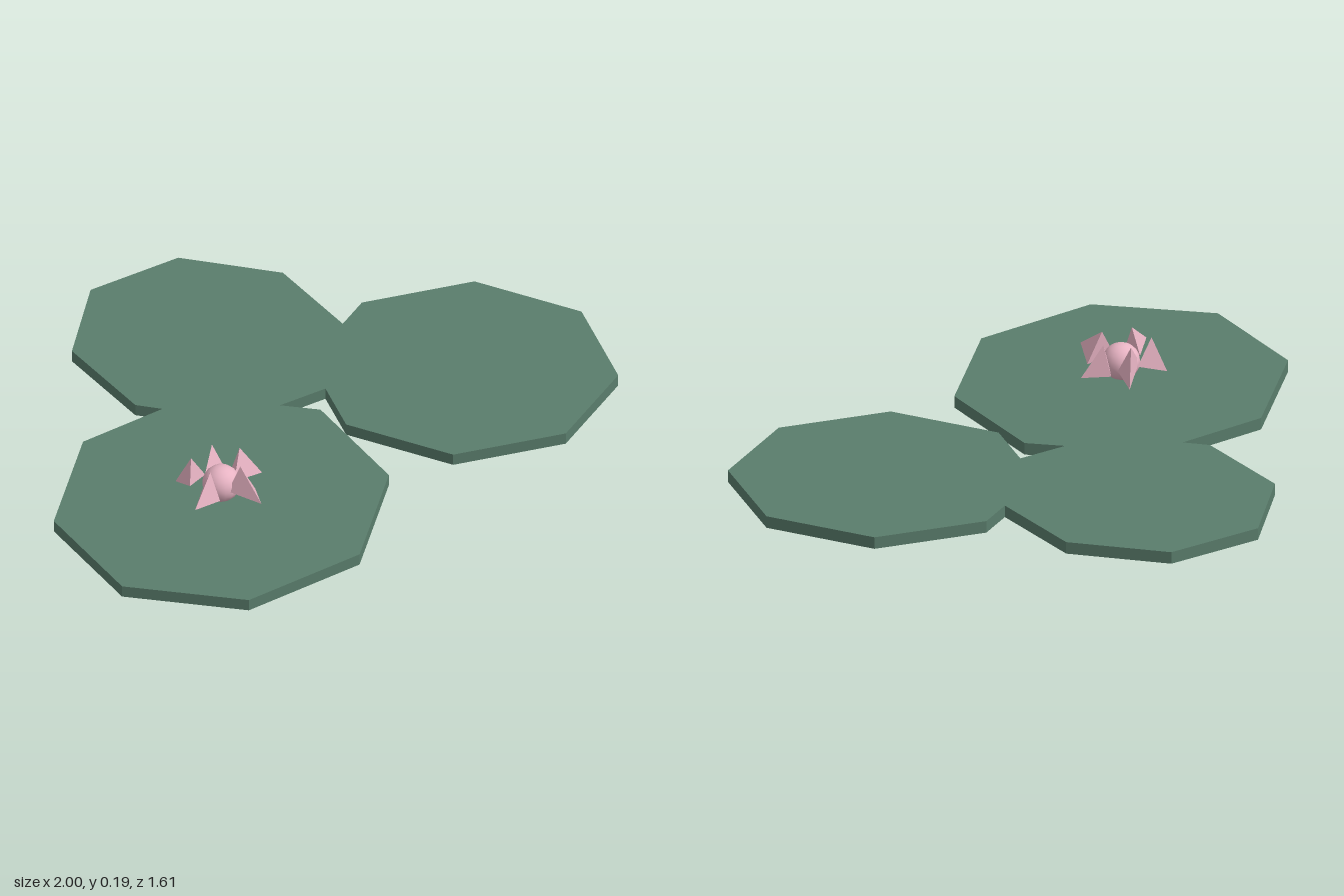
import * as THREE from 'three';
import { ConvexGeometry } from 'three/addons/geometries/ConvexGeometry.js';

const THICKNESS = 0.04;

// Eight-sided pad: four corner offsets, mirrored through the centre
function makePad(name, cx, cz, half, material) {
  const ring = [...half, ...half.map(([x, z]) => [-x, -z])];
  const shape = new THREE.Shape(ring.map(([x, z]) => new THREE.Vector2(x, -z)));
  const geometry = new THREE.ExtrudeGeometry(shape, { depth: THICKNESS, bevelEnabled: false });
  geometry.rotateX(-Math.PI / 2);
  const pad = new THREE.Mesh(geometry, material);
  pad.name = name;
  pad.position.set(cx, 0, cz);
  return pad;
}

export function createModel() {
  const model = new THREE.Group();
  model.name = 'lilyPads';
  const green = new THREE.MeshStandardMaterial({ color: 0x5a7d6c, flatShading: true });
  const pink = new THREE.MeshStandardMaterial({ color: 0xe8b4c4, flatShading: true });
  const pinkSmooth = new THREE.MeshStandardMaterial({ color: 0xe8b4c4 });

  // Three overlapping leaves
  model.add(
    makePad('largePad', -0.48, 0.31, [[0.52, -0.19], [0.495, 0.21], [0.18, 0.49], [-0.24, 0.48]], green),
    makePad('backPad', -0.028, -0.382, [[-0.152, -0.423], [0.168, -0.398], [0.388, -0.143], [0.385, 0.2]], green),
    makePad('leftPad', 0.53, 0.207, [[-0.06, -0.462], [0.29, -0.345], [0.47, -0.022], [0.37, 0.313]], green),
  );

  // Flower on the large leaf
  const flower = new THREE.Group();
  flower.name = 'flower';
  flower.position.set(-0.48, 0, 0.31);
  const heart = new THREE.Mesh(new THREE.SphereGeometry(0.06, 16, 10), pinkSmooth);
  heart.name = 'flowerCentre';
  heart.position.y = 0.1;
  flower.add(heart);

  // Pointed petals: outer corner, two base corners, raised tip
  const petals = [
    [[0.15, 0.08, 0.01], [0.08, 0.09, -0.055], [0.037, 0.1, 0.018], [0.085, 0.187, -0.02]],
    [[0.032, 0.107, 0.17], [0.08, 0.085, 0.07], [-0.01, 0.1, 0.048], [0.03, 0.187, 0.06]],
    [[-0.155, 0.107, 0.075], [-0.043, 0.08, 0.053], [-0.07, 0.1, -0.005], [-0.064, 0.187, 0.03]],
    [[-0.096, 0.08, -0.112], [-0.09, 0.1, -0.043], [-0.016, 0.1, -0.064], [-0.07, 0.187, -0.065]],
    [[0.059, 0.065, -0.123], [0.053, 0.1, -0.053], [-0.043, 0.1, -0.037], [0.025, 0.187, -0.085]],
  ];
  petals.forEach((corners, i) => {
    const geometry = new ConvexGeometry(corners.map((c) => new THREE.Vector3(...c)));
    const petal = new THREE.Mesh(geometry, pink);
    petal.name = `petal${i + 1}`;
    flower.add(petal);
  });
  model.add(flower);
  return model;
}
